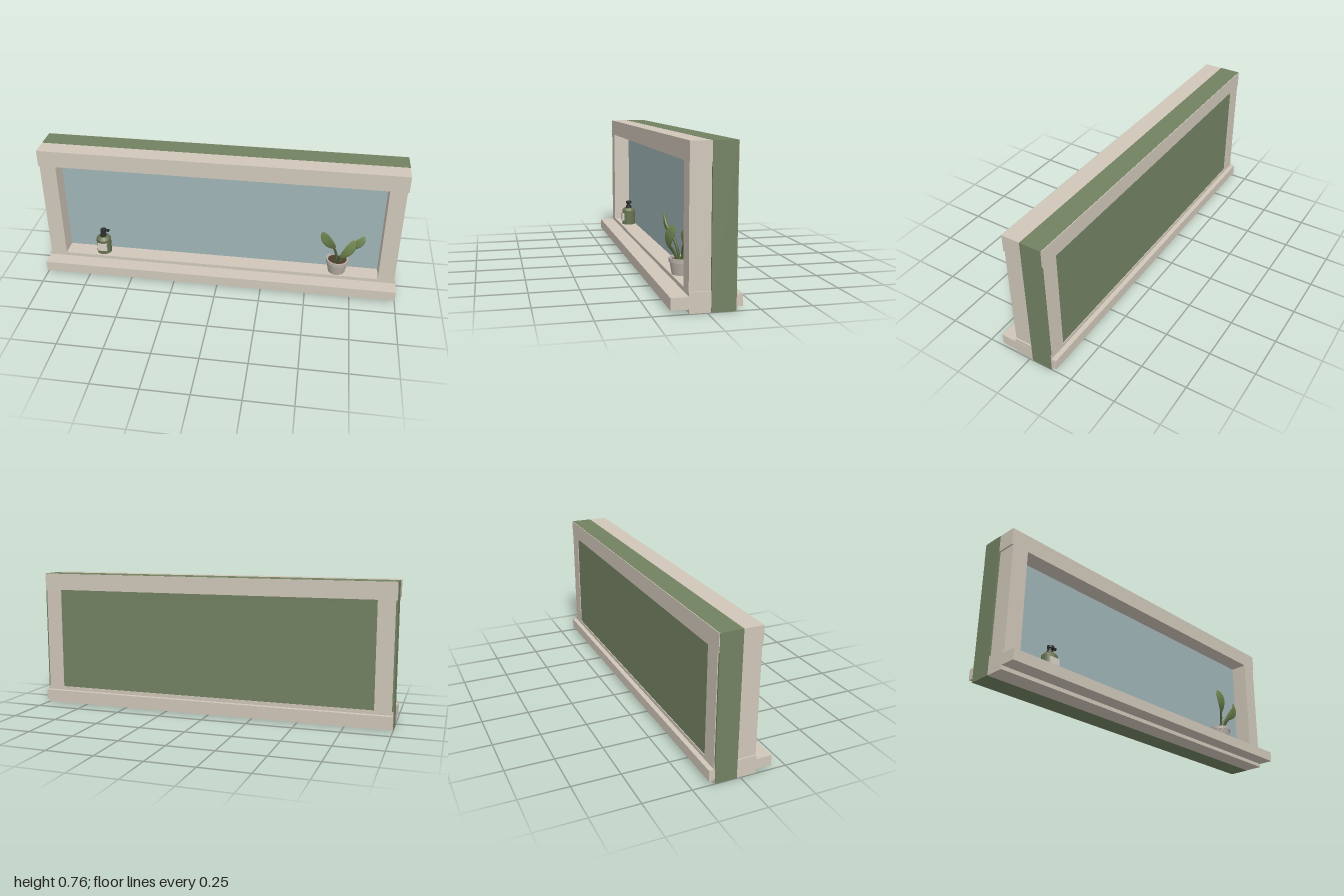
import * as THREE from 'three';

const mat = (color, flatShading = false) => new THREE.MeshStandardMaterial({ color, flatShading });
const V = (x, y, z) => new THREE.Vector3(x, y, z);

export function createModel() {
  const root = new THREE.Group();
  const trim = mat(0xd0c7b9), wall = mat(0x738262), glass = mat(0xa0b4b8);
  const leafMat = mat(0x6f8550), stemMat = mat(0x55663c);
  const bottleMat = mat(0x687351), pumpMat = mat(0x2a2e2c);

  const add = (parent, name, geo, material, x = 0, y = 0, z = 0) => {
    const m = new THREE.Mesh(geo, material);
    m.name = name;
    m.position.set(x, y, z);
    parent.add(m);
    return m;
  };
  // box given by its lower and upper limits
  const box = (parent, name, material, x0, x1, y0, y1, z0, z1) =>
    add(parent, name, new THREE.BoxGeometry(x1 - x0, y1 - y0, z1 - z0), material,
      (x0 + x1) / 2, (y0 + y1) / 2, (z0 + z1) / 2);

  // window frame, wall core and sill
  const frame = new THREE.Group();
  frame.name = 'windowFrame';
  root.add(frame);
  box(frame, 'wallCore', wall, -1, 1, 0, 0.76, -0.135, -0.018);
  box(frame, 'windowPane', glass, -0.91, 0.91, 0.09, 0.675, -0.03, -0.014);
  box(frame, 'topRail', trim, -0.999, 0.999, 0.667, 0.7592, -0.139, 0.083);
  box(frame, 'bottomRail', trim, -0.999, 0.999, 0.0008, 0.098, -0.139, 0.083);
  box(frame, 'sill', trim, -0.9992, 0.9992, 0.021, 0.078, -0.165, 0.167);
  for (const s of [-1, 1]) {
    const post = box(frame, s > 0 ? 'leftPost' : 'rightPost', trim, -0.045, 0.045, 0.098, 0.667, -0.139, 0.083);
    post.position.x = s * 0.946;
  }

  // pump bottle
  const bottle = new THREE.Group();
  bottle.name = 'pumpBottle';
  bottle.position.set(-0.685, 0.098, 0.03);
  root.add(bottle);
  const cyl = (r0, r1, h, n = 16) => new THREE.CylinderGeometry(r0, r1, h, n);
  add(bottle, 'bottleBody', cyl(0.042, 0.042, 0.09), bottleMat, 0, 0.045, 0);
  add(bottle, 'bottleShoulder', cyl(0.03, 0.042, 0.015), bottleMat, 0, 0.0975, 0);
  add(bottle, 'pumpCollar', cyl(0.017, 0.019, 0.016), pumpMat, 0, 0.113, 0);
  add(bottle, 'pumpStem', cyl(0.009, 0.009, 0.02, 10), pumpMat, 0, 0.128, 0);
  add(bottle, 'pumpHead', cyl(0.018, 0.018, 0.013), pumpMat, 0.003, 0.142, 0);
  box(bottle, 'pumpNozzle', pumpMat, 0, 0.037, 0.137, 0.147, -0.007, 0.007);
  box(bottle, 'bottleLabel', mat(0xd8d2c4), -0.027, 0.027, 0.025, 0.072, 0.033, 0.045);

  // potted plant
  const plant = new THREE.Group();
  plant.name = 'pottedPlant';
  plant.position.set(0.67, 0.098, 0.03);
  root.add(plant);
  const potProfile = [[0, 0], [0.048, 0], [0.059, 0.062], [0.063, 0.062], [0.063, 0.081],
    [0.054, 0.081], [0.052, 0.066]].map(p => new THREE.Vector2(...p));
  const pot = new THREE.LatheGeometry(potProfile, 20);
  const potMat = mat(0xb8b0a8, true);
  potMat.side = THREE.DoubleSide;
  add(plant, 'pot', pot, potMat);
  add(plant, 'soil', cyl(0.054, 0.052, 0.008, 20), mat(0x4d3c2e), 0, 0.066, 0);

  // plump leaf along +y, pointed at both ends, cupped forward
  const leafGeometry = (length, width) => {
    const g = new THREE.SphereGeometry(1, 10, 8);
    const p = g.attributes.position;
    for (let i = 0; i < p.count; i++) {
      const t = (p.getY(i) + 1) / 2;
      const x = p.getX(i) * (0.8 + 0.3 * t);
      p.setXYZ(i, x * width / 2, t * length,
        p.getZ(i) * 0.008 + 0.008 * x * x - 0.012 * (2 * t - 1) ** 2 + 0.012);
    }
    g.computeVertexNormals();
    return g;
  };

  // [leaf base, leaf tip, width, facing]
  const leaves = [
    [V(-0.022, 0.172, 0.035), V(-0.095, 0.29, 0.06), 0.062, V(-0.25, 0.2, 1)],
    [V(0.012, 0.132, 0.068), V(0.08, 0.247, 0.052), 0.068, V(0.4, 0.1, 1)],
    [V(0.06, 0.158, 0.005), V(0.136, 0.24, 0.0), 0.056, V(0.3, 0.2, 1)],
  ];
  leaves.forEach(([base, tip, width, facing], i) => {
    const up = tip.clone().sub(base);
    const length = up.length();
    up.normalize();
    const side = up.clone().cross(facing).normalize();
    const normal = side.clone().cross(up);
    const leaf = add(plant, 'leaf' + (i + 1), leafGeometry(length, width), leafMat);
    leaf.quaternion.setFromRotationMatrix(new THREE.Matrix4().makeBasis(side, up, normal));
    leaf.position.copy(base);
    // stem runs from the soil into the leaf
    const foot = V(base.x * 0.25, 0.066, base.z * 0.25);
    const bend = V(base.x * 0.5, (0.066 + base.y) / 2 + 0.01, base.z * 0.6);
    const end = base.clone().addScaledVector(up, 0.015);
    const path = new THREE.CatmullRomCurve3([foot, bend, end]);
    add(plant, 'stem' + (i + 1), new THREE.TubeGeometry(path, 8, 0.007, 8), stemMat);
  });
  return root;
}
